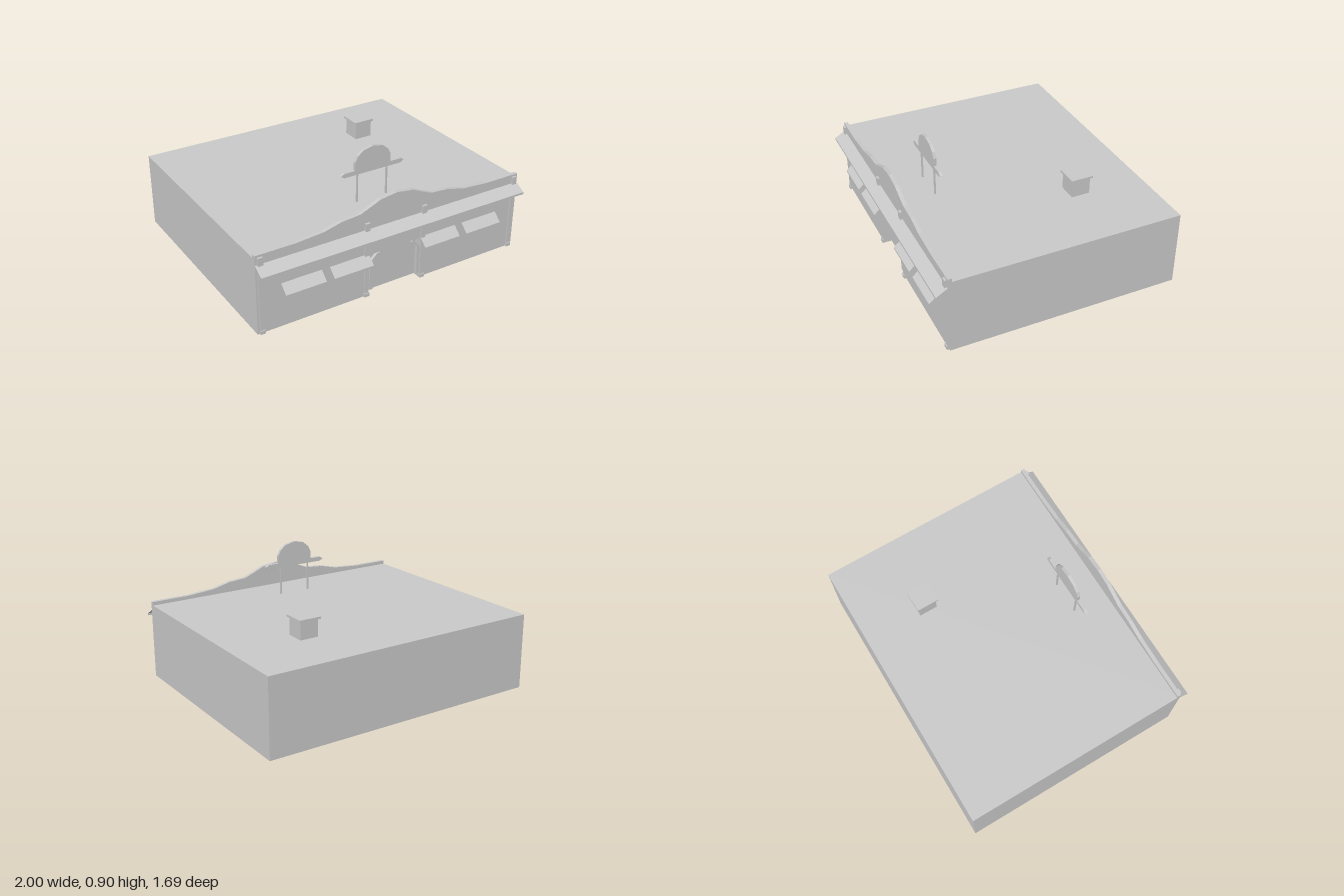
import * as THREE from 'three';

export function createModel() {
  const root = new THREE.Group();
  root.name = 'storefront';
  const plaster = new THREE.MeshStandardMaterial({ color: 0xc8c8c8, side: THREE.DoubleSide });
  plaster.name = 'plain grey';

  const BACK = -0.843, FRONT = 0.766, ROOF = 0.53;

  function add(name, geometry, x = 0, y = 0, z = 0) {
    const mesh = new THREE.Mesh(geometry, plaster);
    mesh.name = name;
    mesh.position.set(x, y, z);
    root.add(mesh);
    return mesh;
  }
  // box given by its lower and upper limits
  function box(name, x0, x1, y0, y1, z0, z1) {
    return add(name, new THREE.BoxGeometry(x1 - x0, y1 - y0, z1 - z0),
      (x0 + x1) / 2, (y0 + y1) / 2, (z0 + z1) / 2);
  }
  const toShape = pts => new THREE.Shape(pts.map(p => new THREE.Vector2(p[0], p[1])));
  // outline in x,y given a thickness from z0 to z1
  function slab(name, pts, z0, z1) {
    return add(name, new THREE.ExtrudeGeometry(toShape(pts), { depth: z1 - z0, bevelEnabled: false }), 0, 0, z0);
  }
  // thin folded sheet: [z, y] profile drawn from x0 to x1
  function sheet(name, profile, x0, x1) {
    const pos = [];
    for (let i = 0; i < profile.length - 1; i++) {
      const [za, ya] = profile[i], [zb, yb] = profile[i + 1];
      pos.push(x0, ya, za, x0, yb, zb, x1, yb, zb);
      pos.push(x0, ya, za, x1, yb, zb, x1, ya, za);
    }
    const g = new THREE.BufferGeometry();
    g.setAttribute('position', new THREE.Float32BufferAttribute(pos, 3));
    g.computeVertexNormals();
    return add(name, g);
  }
  // right half of an outline, mirrored to the left
  const mirrored = half => [...half, ...half.filter(p => p[0] !== 0).reverse().map(([x, y]) => [-x, y])];

  // hollow building shell, open underneath
  sheet('roof', [[FRONT, ROOF], [BACK, ROOF]], -1, 1);
  sheet('backWall', [[BACK, ROOF], [BACK, 0]], -1, 1);
  for (const s of [-1, 1]) {
    const wall = add('sideWall', new THREE.PlaneGeometry(FRONT - BACK, ROOF), s, ROOF / 2, (FRONT + BACK) / 2);
    wall.rotation.y = s * Math.PI / 2;
  }
  const wallShape = toShape([[-1, 0], [-0.2, 0], [-0.2, 0.3], [0.2, 0.3], [0.2, 0], [1, 0], [1, ROOF], [-1, ROOF]]);
  add('frontWall', new THREE.ShapeGeometry(wallShape), 0, 0, FRONT);

  // shallow doorway recess
  const recess = 0.052;
  sheet('doorway', [[FRONT, 0.3], [FRONT - recess, 0.3], [FRONT - recess, 0]], -0.2, 0.2);
  for (const s of [-1, 1]) {
    const jamb = add('doorJamb', new THREE.PlaneGeometry(recess, 0.3), s * 0.2, 0.15, FRONT - recess / 2);
    jamb.rotation.y = -s * Math.PI / 2;
    // post with a slanted brace in the upper corner
    const brace = [[0.172, 0.04], [0.195, 0.04], [0.195, 0.245], [0.14, 0.3], [0.12, 0.3], [0.172, 0.25]];
    slab('doorBrace', brace.map(([x, y]) => [s * x, y]), 0.752, 0.774);
  }

  // wavy parapet
  slab('parapet', [[-1, ROOF], [1, ROOF], ...mirrored([
    [1, 0.555], [0.73, 0.555], [0.53, 0.57], [0.4, 0.602], [0.27, 0.612], [0.2, 0.64], [0.12, 0.675], [0, 0.692]])],
    0.739, FRONT);

  // pilasters with foot and head blocks
  for (const x of [-0.968, -0.218, 0.218, 0.968]) {
    box('pilaster', x - 0.016, x + 0.016, 0, 0.49, FRONT, 0.775);
    box('pilasterFoot', x - 0.018, x + 0.018, 0, 0.025, FRONT, 0.781);
    box('pilasterHead', x - 0.017, x + 0.017, 0.485, 0.54, FRONT, 0.781);
  }

  // long awning and four window awnings, each with a short valance
  sheet('mainAwning', [[FRONT, 0.49], [0.843, 0.445], [0.843, 0.43]], -1, 1);
  for (const [x0, x1] of [[-0.83, -0.545], [-0.488, -0.2], [0.2, 0.483], [0.54, 0.828]]) {
    sheet('windowAwning', [[FRONT, 0.31], [0.825, 0.255], [0.825, 0.242]], x0, x1);
  }

  // roof sign: domed panel, pointed board and two posts
  slab('signDome', mirrored([[0.135, 0.76], [0.135, 0.815], [0.115, 0.855], [0.075, 0.888], [0, 0.905]]), 0.478, 0.499);
  slab('signBoard', mirrored([[0.215, 0.73], [0.24, 0.745], [0.215, 0.76]]), 0.478, 0.499);
  for (const x of [-0.113, 0.113]) box('signPost', x - 0.005, x + 0.005, ROOF, 0.735, 0.483, 0.494);

  // roof vent
  box('vent', 0.4, 0.53, ROOF, 0.65, -0.44, -0.31);
  box('ventCap', 0.387, 0.542, 0.65, 0.665, -0.453, -0.298);

  return root;
}
